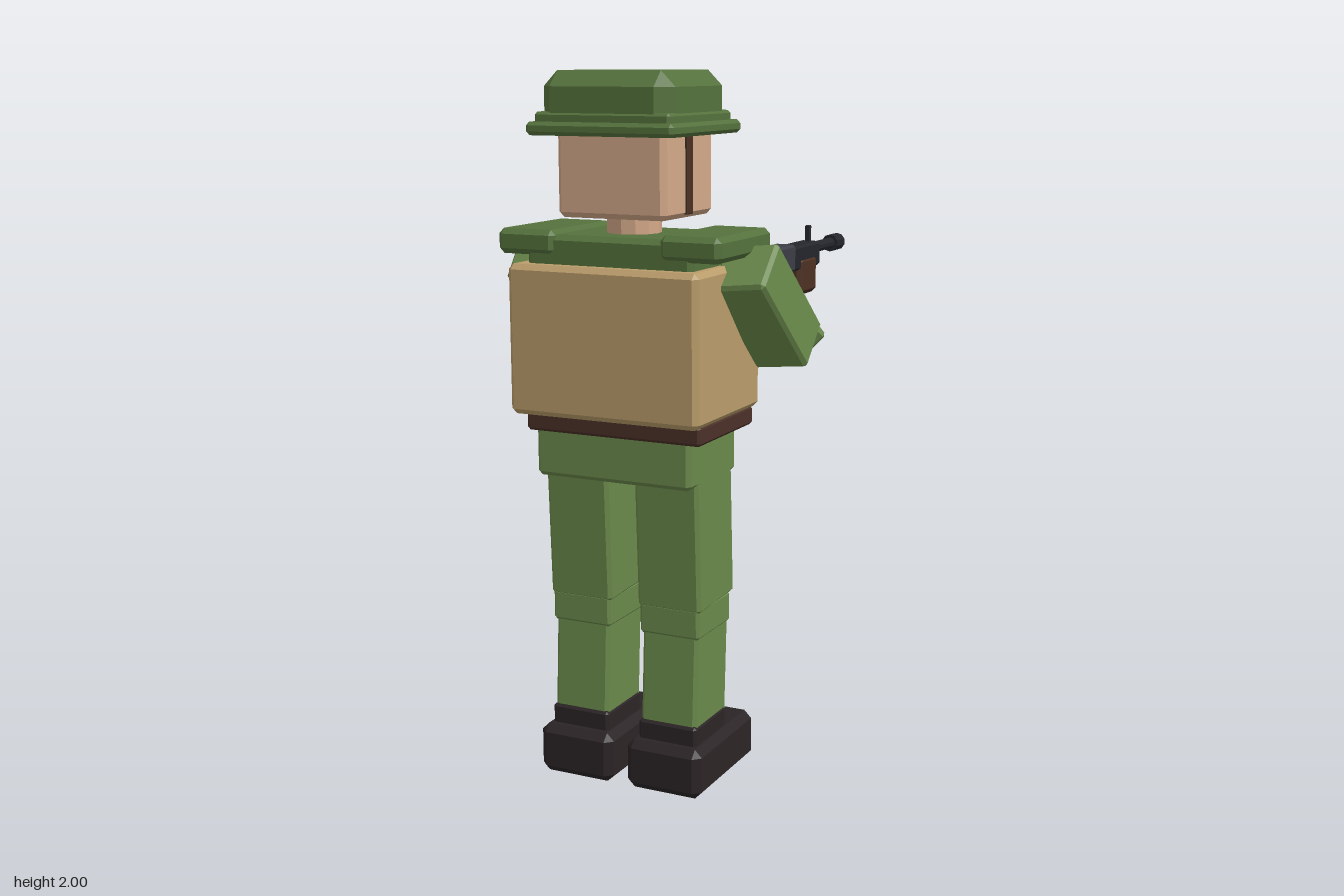
import * as THREE from 'three';
import { ConvexGeometry } from 'three/addons/geometries/ConvexGeometry.js';

const COLORS = {
  uniform: 0x6a894b, darkGreen: 0x55723d, vest: 0xb99c6a, pouch: 0x927a52, skin: 0xd3a888,
  hair: 0x4a3024, belt: 0x4a3028, glove: 0x4e3022, boot: 0x2b2426, knee: 0x84693f,
  wood: 0x5c3c28, metal: 0x3c3d46, black: 0x25262b, mouth: 0x8a5040, buckle: 0x8c8c8c,
};
const materials = {};
for (const key in COLORS) {
  materials[key] = new THREE.MeshStandardMaterial({ color: COLORS[key], flatShading: true });
}

// Box with every edge cut flat by b
function chamferBox(w, h, d, b) {
  const points = [];
  for (const sx of [-1, 1]) for (const sy of [-1, 1]) for (const sz of [-1, 1]) {
    const x = sx * w / 2, y = sy * h / 2, z = sz * d / 2;
    points.push(
      new THREE.Vector3(x, y - sy * b, z - sz * b),
      new THREE.Vector3(x - sx * b, y, z - sz * b),
      new THREE.Vector3(x - sx * b, y - sy * b, z));
  }
  return new ConvexGeometry(points);
}

export function createModel() {
  const model = new THREE.Group();
  model.name = 'soldier';

  function add(name, geometry, mat, parent = model) {
    const mesh = new THREE.Mesh(geometry, materials[mat]);
    mesh.name = name;
    parent.add(mesh);
    return mesh;
  }
  // Chamfered block given by its extents
  function block(name, mat, [x0, x1], [y0, y1], [z0, z1], b = 0.01, parent = model) {
    const mesh = add(name, chamferBox(x1 - x0, y1 - y0, z1 - z0, b), mat, parent);
    mesh.position.set((x0 + x1) / 2, (y0 + y1) / 2, (z0 + z1) / 2);
    return mesh;
  }
  // Chamfered bar running from point a to point c
  function limb(name, mat, a, c, w, d, parent = model) {
    const start = new THREE.Vector3(...a), end = new THREE.Vector3(...c);
    const dir = end.clone().sub(start);
    const mesh = add(name, chamferBox(w, dir.length(), d, 0.01), mat, parent);
    mesh.position.copy(start).add(end).multiplyScalar(0.5);
    mesh.quaternion.setFromUnitVectors(new THREE.Vector3(0, -1, 0), dir.normalize());
    return mesh;
  }
  function group(name) {
    const g = new THREE.Group();
    g.name = name;
    model.add(g);
    return g;
  }
  const cx = -0.022; // body centre line

  // Legs and boots
  for (const [side, x] of [['left', 0.118], ['right', -0.161]]) {
    const leg = group(side + 'Leg');
    limb('thigh', 'uniform', [x, 1.02, 0.468], [x, 0.53, 0.447], 0.195, 0.225, leg);
    block('kneeCuff', 'uniform', [x - 0.092, x + 0.092], [0.45, 0.54], [0.35, 0.558], 0.008, leg);
    limb('shin', 'uniform', [x, 0.5, 0.449], [x, 0.17, 0.468], 0.172, 0.2, leg);
    block('kneePad', 'knee', [x - 0.065, x + 0.065], [0.48, 0.6], [0.333, 0.365], 0.006, leg);
    block('bootCuff', 'boot', [x - 0.09, x + 0.09], [0.13, 0.2], [0.374, 0.574], 0.008, leg);
    block('boot', 'boot', [x - 0.117, x + 0.117], [0, 0.145], [0.235, 0.61], 0.022, leg);
  }

  // Hips, belt and torso
  block('pelvis', 'uniform', [-0.26, 0.216], [0.89, 1.05], [0.328, 0.622], 0.012);
  block('belt', 'belt', [-0.28, 0.255], [1.02, 1.075], [0.297, 0.638], 0.008);
  block('buckle', 'buckle', [cx - 0.035, cx + 0.035], [1.025, 1.065], [0.288, 0.31], 0.004);
  block('torso', 'darkGreen', [-0.272, 0.232], [1.04, 1.565], [0.315, 0.635], 0.015);
  block('vest', 'vest', [-0.31, 0.266], [1.07, 1.485], [0.275, 0.677], 0.015);
  for (const x of [-0.18, -0.022, 0.138]) {
    block('pouch', 'pouch', [x - 0.06, x + 0.06], [1.115, 1.26], [0.19, 0.285], 0.01);
  }
  block('chestPouch', 'pouch', [-0.1, 0.1], [1.31, 1.385], [0.232, 0.285], 0.008);
  block('leftShoulderPad', 'darkGreen', [0.137, 0.315], [1.508, 1.577], [0.308, 0.645], 0.015);
  block('rightShoulderPad', 'darkGreen', [-0.358, -0.18], [1.508, 1.577], [0.308, 0.645], 0.015);

  // Neck, head and face
  const head = group('head');
  const neck = add('neck', new THREE.CylinderGeometry(0.075, 0.075, 0.1, 12), 'skin', head);
  neck.position.set(cx, 1.58, 0.476);
  block('skull', 'skin', [-0.186, 0.142], [1.61, 1.85], [0.318, 0.612], 0.015, head);
  for (const s of [-1, 1]) {
    const x = cx + s * 0.163;
    block('sideburn', 'hair', [x - 0.008, x + 0.008], [1.62, 1.84], [0.458, 0.492], 0.002, head);
    const ex = cx + s * 0.08;
    block('eye', 'black', [ex - 0.035, ex + 0.035], [1.765, 1.815], [0.305, 0.33], 0.003, head);
  }
  block('nose', 'skin', [cx - 0.022, cx + 0.022], [1.71, 1.775], [0.284, 0.33], 0.005, head);
  block('mouth', 'mouth', [cx - 0.05, cx + 0.05], [1.665, 1.69], [0.31, 0.33], 0.003, head);

  // Helmet
  const helmet = group('helmet');
  block('brim', 'darkGreen', [-0.242, 0.198], [1.83, 1.866], [0.254, 0.678], 0.01, helmet);
  block('band', 'darkGreen', [-0.224, 0.181], [1.85, 1.892], [0.284, 0.66], 0.008, helmet);
  block('crown', 'darkGreen', [-0.218, 0.175], [1.84, 2], [0.29, 0.655], 0.042, helmet);

  // Arms bent towards the rifle
  const arms = [
    ['leftArm', [0.31, 1.49, 0.48], [0.345, 1.24, 0.252], [0.36, 1.26, 0.235], [0.14, 1.36, -0.01]],
    ['rightArm', [-0.348, 1.49, 0.455], [-0.33, 1.27, 0.17], [-0.34, 1.265, 0.16], [0.083, 1.36, -0.35]],
  ];
  for (const [name, shoulder, elbow, elbowFront, wrist] of arms) {
    const arm = group(name);
    limb('upperArm', 'uniform', shoulder, elbow, 0.16, 0.16, arm);
    limb('forearm', 'uniform', elbowFront, wrist, 0.13, 0.13, arm);
  }
  block('leftGlove', 'glove', [0.052, 0.187], [1.27, 1.42], [-0.062, 0.045], 0.015);
  block('rightGlove', 'glove', [0.02, 0.156], [1.305, 1.425], [-0.418, -0.283], 0.015);

  // Rifle
  const rifle = group('rifle');
  const gx = 0.118;
  const part = (name, mat, w, y, z, b = 0.008) =>
    block(name, mat, [gx - w / 2, gx + w / 2], y, z, b, rifle);
  part('stock', 'wood', 0.06, [1.385, 1.465], [0.13, 0.29]);
  part('receiver', 'metal', 0.07, [1.385, 1.47], [-0.25, 0.138]);
  part('handguard', 'black', 0.066, [1.385, 1.462], [-0.453, -0.245]);
  part('rearSight', 'black', 0.032, [1.465, 1.51], [-0.047, 0.055], 0.006);
  part('frontSight', 'black', 0.016, [1.45, 1.512], [-0.437, -0.421], 0.002);
  limb('magazine', 'metal', [gx, 1.4, -0.165], [gx, 1.22, -0.13], 0.048, 0.07, rifle);
  limb('grip', 'black', [gx, 1.4, -0.02], [gx, 1.27, 0.01], 0.045, 0.06, rifle);
  for (const [name, r, z0, z1] of [['barrel', 0.018, -0.64, -0.44], ['muzzle', 0.028, -0.68, -0.615]]) {
    const tube = add(name, new THREE.CylinderGeometry(r, r, z1 - z0, 10), 'black', rifle);
    tube.rotation.x = Math.PI / 2;
    tube.position.set(gx, 1.438, (z0 + z1) / 2);
  }
  return model;
}
